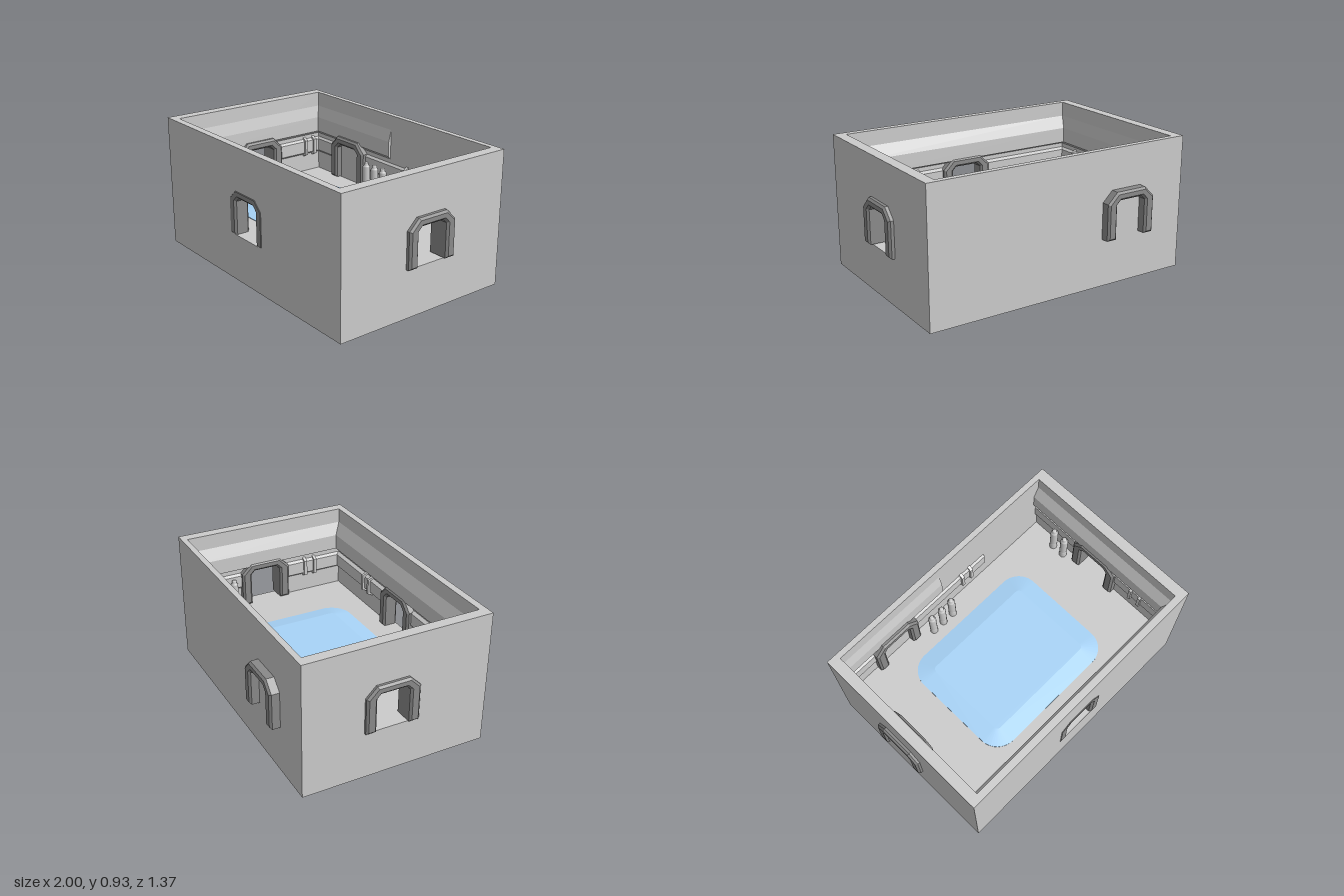
import * as THREE from 'three';

const FLOOR = 0.325, TOP = 0.93;
const grey = new THREE.MeshStandardMaterial({ color: 0xcccccc, flatShading: true });
const smoothGrey = new THREE.MeshStandardMaterial({ color: 0xcccccc });
const dark = new THREE.MeshStandardMaterial({ color: 0x8a8a8a, flatShading: true });
const blue = new THREE.MeshStandardMaterial({ color: 0xa8d4f8, flatShading: true });

function add(parent, name, geometry, material = grey) {
  const mesh = new THREE.Mesh(geometry, material);
  mesh.name = name;
  parent.add(mesh);
  return mesh;
}

function polygon(points) {
  return new THREE.Shape(points.map(([x, y]) => new THREE.Vector2(x, y)));
}

// Chamfered arch from its left foot over the top to its right foot
function arch(cx, half, y0, y1, cut) {
  return [[cx - half, y0], [cx - half, y1 - cut], [cx - half + cut, y1],
    [cx + half - cut, y1], [cx + half, y1 - cut], [cx + half, y0]];
}

// Sweeps a (depth, height) profile along a wall from a to b
function strip(profile, a, b) {
  const g = new THREE.ExtrudeGeometry(polygon(profile), { depth: b - a, bevelEnabled: false });
  return g.rotateY(-Math.PI / 2).translate(b, 0, 0);
}

// Each wall is built with x along it, z = 0 on its inner face and +z into the room
function makeWall(w) {
  const wall = new THREE.Group();
  wall.name = w.name;
  wall.position.set(...w.position);
  wall.rotation.y = w.turn;
  const d = w.door;

  // Wall slab, notched where there is an open doorway
  const [a, b] = w.span;
  const notch = d.open ? arch(d.x, 0.135, FLOOR, d.top - 0.035, 0.045) : [];
  const slab = polygon([[a, FLOOR], ...notch, [b, FLOOR], [b, TOP], [a, TOP]]);
  add(wall, 'wallSlab', new THREE.ExtrudeGeometry(slab, { depth: w.thick, bevelEnabled: false })
    .translate(0, 0, -w.thick));

  // Door frame with bevelled edges
  const bevel = 0.014, foot = d.top - 0.322;
  const outer = arch(d.x, 0.187 - bevel, foot + bevel, d.top - bevel, 0.064);
  const inner = arch(d.x, 0.115 + bevel, foot + bevel, d.top - 0.05 + bevel - 0.008, 0.036).reverse();
  add(wall, 'doorFrame', new THREE.ExtrudeGeometry(polygon([...outer, ...inner]), {
    depth: d.z1 - d.z0 - 2 * bevel, bevelThickness: bevel, bevelSize: bevel, bevelSegments: 1,
  }).translate(0, 0, d.z0 + bevel), dark);

  // Sloped upper panel
  const p = w.panelDepth;
  add(wall, 'upperPanel', strip([[0, 0.61], [p, 0.63], [p, 0.74], [0, 0.825]], ...w.panel));

  // Rail, interrupted by the door
  const r = w.railDepth;
  const rail = [[0, 0.46], [r, 0.475], [r, 0.565], [0, 0.58]];
  for (const [s, e] of [[w.rail[0], d.x - 0.16], [d.x + 0.16, w.rail[1]]])
    add(wall, 'rail', strip(rail, s, e));

  // Paired clamps over the rail
  const c = r + 0.016;
  for (const x of w.clamps)
    for (const dx of [-0.04, 0.04])
      add(wall, 'railClamp', strip([[0, 0.445], [c, 0.46], [c, 0.575], [0, 0.595]],
        x + dx - 0.011, x + dx + 0.011));
  return wall;
}

const WALLS = [
  { name: 'frontWall', position: [0, 0, 0.63], turn: Math.PI, thick: 0.05, span: [-0.965, 0.97],
    door: { x: 0.01, top: 0.642, z0: -0.054, z1: 0.055, open: true },
    panel: [-0.89, 0.895], panelDepth: 0.045, rail: [-0.89, 0.895], railDepth: 0.025, clamps: [-0.41] },
  { name: 'backWall', position: [0, 0, -0.58], turn: 0, thick: 0.04, span: [-0.97, 0.965],
    door: { x: -0.495, top: 0.652, z0: -0.107, z1: 0.05, open: false },
    panel: [-0.895, -0.05], panelDepth: 0.02, rail: [-0.895, 0.35], railDepth: 0.015, clamps: [0.17] },
  { name: 'leftWall', position: [0.89, 0, 0], turn: -Math.PI / 2, thick: 0.075, span: [-0.58, 0.63],
    door: { x: -0.005, top: 0.652, z0: -0.11, z1: 0.05, open: true },
    panel: [-0.58, 0.63], panelDepth: 0.04, rail: [-0.58, 0.63], railDepth: 0.02, clamps: [0.37] },
  { name: 'rightWall', position: [-0.895, 0, 0], turn: Math.PI / 2, thick: 0.075, span: [-0.63, 0.58],
    door: { x: 0.015, top: 0.652, z0: -0.105, z1: 0.05, open: true },
    panel: [-0.63, 0.58], panelDepth: 0.02, rail: [-0.63, 0.58], railDepth: 0.018, clamps: [-0.41, 0.48] },
];

export function createModel() {
  const room = new THREE.Group();
  room.name = 'room';

  // Solid base whose top is the floor
  add(room, 'base', new THREE.BoxGeometry(1.935, FLOOR, 1.3)).position.set(-0.0025, FLOOR / 2, 0.03);

  for (const w of WALLS) room.add(makeWall(w));

  // Low blue pad with rounded corners and wide sloped edges
  const hx = 0.42, hz = 0.31, r = 0.03;
  const pad = new THREE.Shape();
  pad.absarc(hx - r, hz - r, r, 0, Math.PI / 2);
  pad.absarc(-hx + r, hz - r, r, Math.PI / 2, Math.PI);
  pad.absarc(-hx + r, -hz + r, r, Math.PI, Math.PI * 1.5);
  pad.absarc(hx - r, -hz + r, r, Math.PI * 1.5, Math.PI * 2);
  const padGeometry = new THREE.ExtrudeGeometry(pad, {
    depth: 0.004, bevelThickness: 0.02, bevelSize: 0.12, bevelSegments: 1, curveSegments: 5,
  }).rotateX(-Math.PI / 2);
  add(room, 'floorPad', padGeometry, blue).position.set(-0.01, FLOOR + 0.001, 0.02);

  // Standing cylinders with a foot band and rounded cap
  const profile = [[0.027, 0], [0.027, 0.055], [0.024, 0.058], [0.024, 0.064], [0.027, 0.067],
    [0.027, 0.2], [0.023, 0.208], [0.017, 0.212], [0.017, 0.228], [0.012, 0.233], [0, 0.233]]
    .map(([x, y]) => new THREE.Vector2(x, y));
  for (const [x, z] of [[-0.22, -0.5], [-0.13, -0.5], [-0.04, -0.5], [0.838, -0.36], [0.838, -0.265]])
    add(room, 'cylinder', new THREE.LatheGeometry(profile, 16), smoothGrey).position.set(x, FLOOR, z);

  return room;
}
